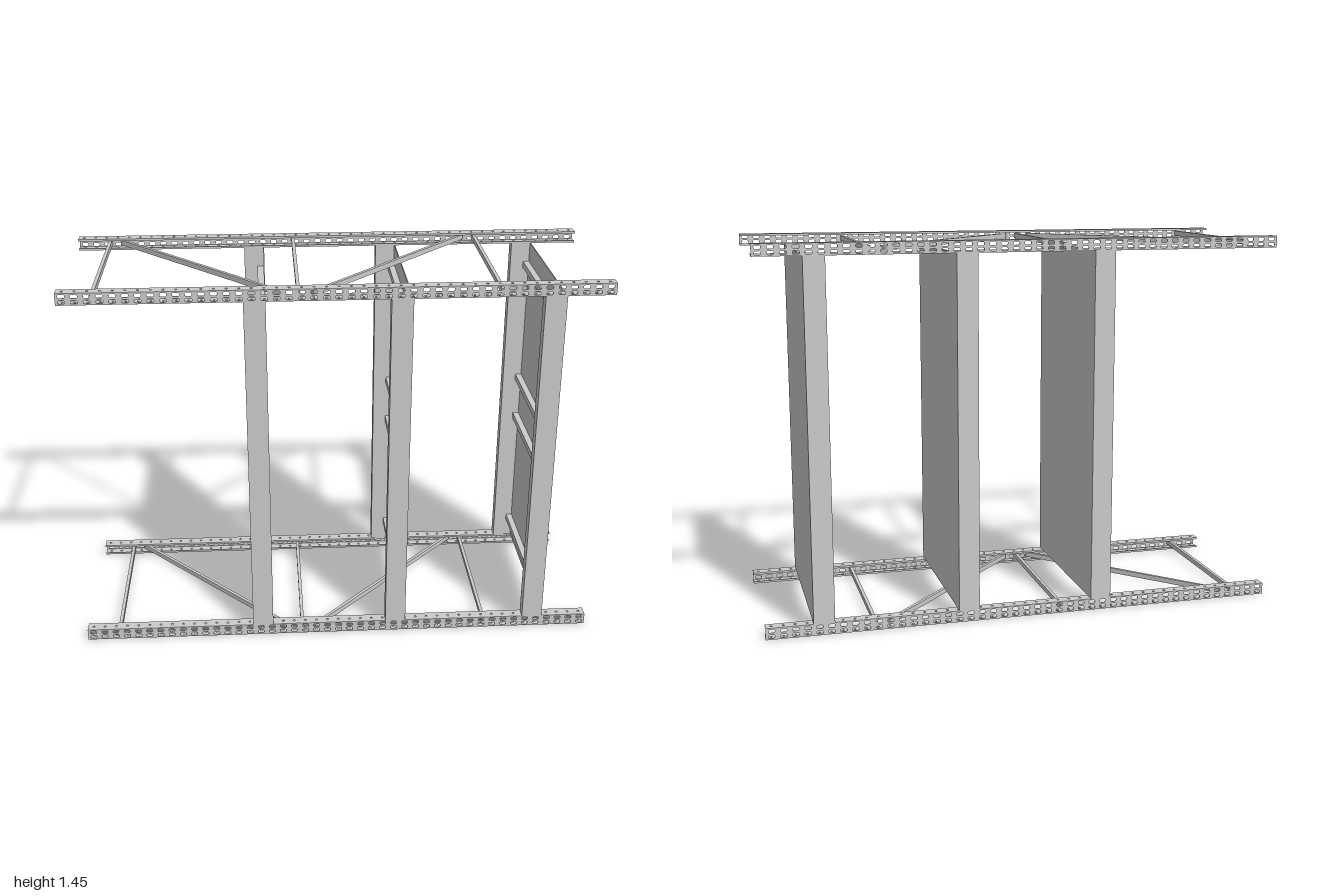
import * as THREE from 'three';

const mat = new THREE.MeshStandardMaterial({ color: 0xcccccc, flatShading: true, side: THREE.DoubleSide });
const H = 1.45;        // overall height
const ZO = 0.353;      // outer half depth
const RAIL = 0.045;    // rail section size
const T = 0.003;       // sheet thickness
const HOLES = 45, PITCH = 2 / HOLES;

function add(parent, name, geometry, x = 0, y = 0, z = 0) {
  const mesh = new THREE.Mesh(geometry, mat);
  mesh.name = name;
  mesh.position.set(x, y, z);
  parent.add(mesh);
  return mesh;
}

// Long strip in the XY plane, punched by makeHole at every pitch and row
function punchedStrip(width, rows, makeHole) {
  const shape = new THREE.Shape();
  shape.moveTo(-1, 0).lineTo(1, 0).lineTo(1, width).lineTo(-1, width).closePath();
  for (let i = 0; i < HOLES; i++)
    for (const y of rows) shape.holes.push(makeHole(-1 + (i + 0.5) * PITCH, y));
  return new THREE.ExtrudeGeometry(shape, { depth: T, bevelEnabled: false });
}

function slot(x, y) {
  const w = 0.012, h = 0.0065, c = 0.003;
  return new THREE.Path([
    [-w, -h + c], [-w, h - c], [-w + c, h], [w - c, h],
    [w, h - c], [w, -h + c], [w - c, -h], [-w + c, -h],
  ].map(([a, b]) => new THREE.Vector2(x + a, y + b)));
}

function roundHole(x, y) {
  const pts = [];
  for (let i = 0; i < 8; i++) {
    const a = -i * Math.PI / 4;
    pts.push(new THREE.Vector2(x + 0.005 * Math.cos(a), y + 0.005 * Math.sin(a)));
  }
  return new THREE.Path(pts);
}

const webGeo = punchedStrip(RAIL, [0.012, 0.033], slot);
const flangeGeo = punchedStrip(RAIL - T, [0.019], roundHole).rotateX(-Math.PI / 2);
const lipGeo = new THREE.BoxGeometry(2, 0.008, T);

// Lipped channel, web outward (+z), open toward the middle
function makeRail(name) {
  const rail = new THREE.Group();
  rail.name = name;
  add(rail, 'railWeb', webGeo, 0, 0, ZO - T);
  for (const y of [0, RAIL - T]) add(rail, 'railFlange', flangeGeo, 0, y, ZO - T);
  for (const y of [0.004, RAIL - 0.004]) add(rail, 'railLip', lipGeo, 0, y, ZO - RAIL + T / 2);
  return rail;
}

// Bar between two points of the ground plan
function addBrace(parent, name, [x1, z1], [x2, z2]) {
  const length = Math.hypot(x2 - x1, z2 - z1);
  const bar = add(parent, name, new THREE.BoxGeometry(0.013, 0.02, length),
    (x1 + x2) / 2, RAIL / 2, (z1 + z2) / 2);
  bar.rotation.y = Math.atan2(x2 - x1, z2 - z1);
}

// Two rails joined by cross bars and two diagonals
function makeFrame(name) {
  const frame = new THREE.Group();
  frame.name = name;
  const back = makeRail('backRail');
  back.rotation.y = Math.PI;
  frame.add(makeRail('frontRail'), back);
  const e = ZO - T;
  for (const x of [-0.875, -0.145, 0.588]) addBrace(frame, 'crossBar', [x, -e], [x, e]);
  addBrace(frame, 'diagonalBrace', [-0.83, -0.34], [-0.195, 0.34]);
  addBrace(frame, 'diagonalBrace', [0.54, -0.34], [-0.095, 0.34]);
  return frame;
}

// Shelf standing on edge: sheet facing +x, edge beams and ribs behind it
function makeShelf(x) {
  const shelf = new THREE.Group();
  shelf.name = 'shelf';
  shelf.position.set(x, H / 2, 0);
  const h = H - 2 * RAIL, depth = 0.08, beam = 0.043;
  add(shelf, 'shelfPanel', new THREE.BoxGeometry(0.004, h, 2 * ZO - 0.002), -0.002);
  for (const s of [-1, 1])
    add(shelf, 'edgeBeam', new THREE.BoxGeometry(depth, h, beam), -depth / 2, 0, s * (ZO - beam / 2));
  for (const y of [-0.59, -0.09, 0.09, 0.59])
    add(shelf, 'shelfRib', new THREE.BoxGeometry(0.024, 0.025, 2 * (ZO - beam)), -0.016, y, 0);
  return shelf;
}

export function createModel() {
  const model = new THREE.Group();
  model.name = 'shelvingRack';
  const upper = makeFrame('upperFrame');
  upper.position.y = H - RAIL;
  model.add(makeFrame('lowerFrame'), upper);
  for (const x of [-0.262, 0.268, 0.823]) model.add(makeShelf(x));
  return model;
}
